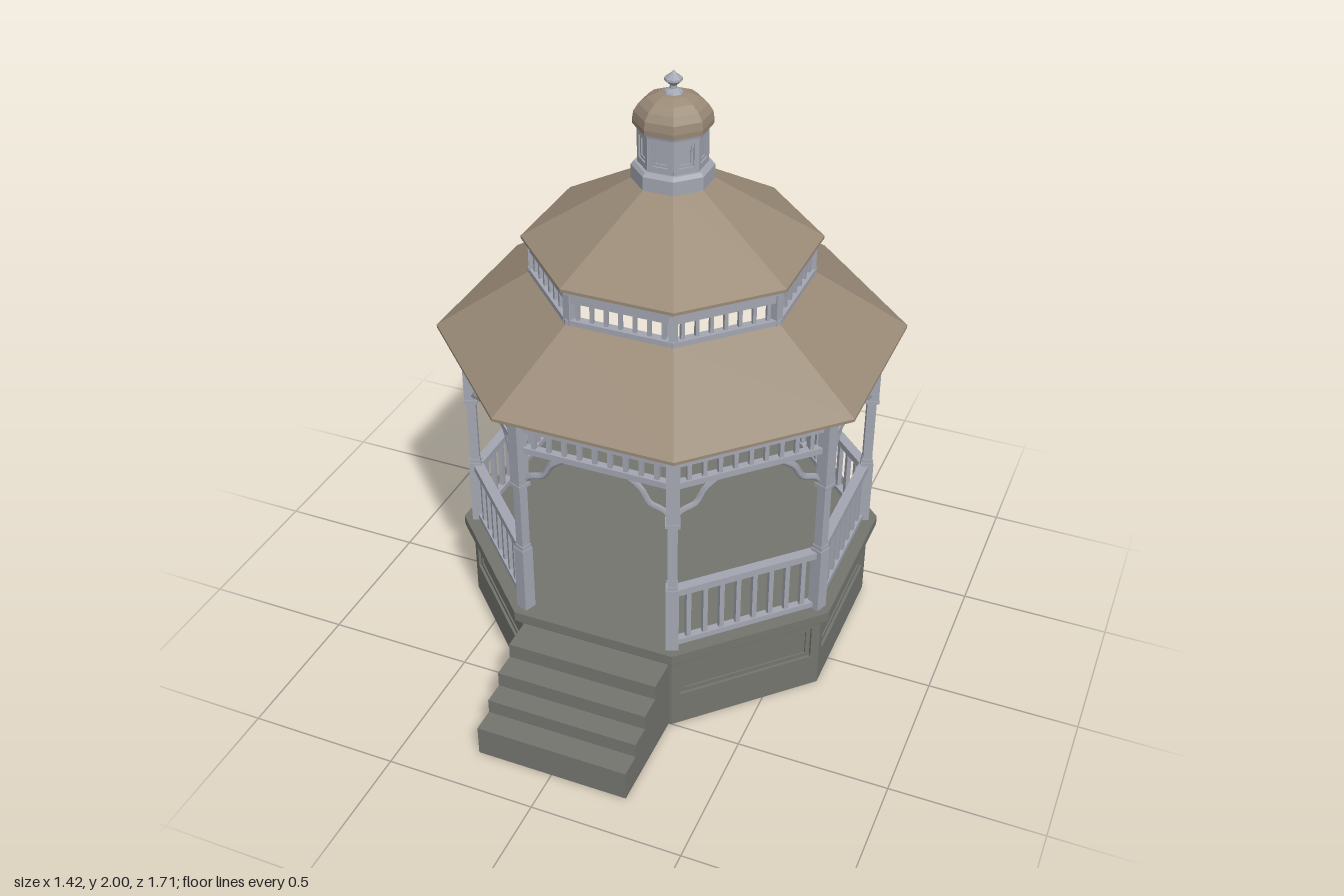
import * as THREE from 'three';

const stone = new THREE.MeshStandardMaterial({ color: 0x74756f });
stone.name = 'stone grey';
const trim = new THREE.MeshStandardMaterial({ color: 0xa3a6b1 });
trim.name = 'painted trim';
const shingle = new THREE.MeshStandardMaterial({ color: 0x9a8a77 });
shingle.name = 'brown shingle';

const COS = Math.cos(Math.PI / 8), TAN = Math.tan(Math.PI / 8);

function add(parent, name, geometry, material, x = 0, y = 0, z = 0) {
  const mesh = new THREE.Mesh(geometry, material);
  mesh.name = name;
  mesh.position.set(x, y, z);
  parent.add(mesh);
  return mesh;
}

// Box given by its bottom height and top height
function bar(parent, name, material, w, y0, y1, d, x, z) {
  return add(parent, name, new THREE.BoxGeometry(w, y1 - y0, d), material, x, (y0 + y1) / 2, z);
}

// Faceted octagonal solid; profile is [apothem, y], going up on the outside
function octagon(parent, name, material, profile) {
  const points = profile.map(([a, y]) => new THREE.Vector2(a / COS, y));
  const geometry = new THREE.LatheGeometry(points, 8, Math.PI / 8).toNonIndexed();
  geometry.computeVertexNormals();
  return add(parent, name, geometry, material);
}

function ring(parent, name, material, inner, outer, y0, y1) {
  return octagon(parent, name, material,
    [[inner, y0], [outer, y0], [outer, y1], [inner, y1], [inner, y0]]);
}

// Flat plate with a rectangular opening, facing +z
function framePlate(w, y0, y1, holeW, h0, h1, depth) {
  const rect = (Type, hw, a, b) => new Type([[-hw, a], [hw, a], [hw, b], [-hw, b]]
    .map(([x, y]) => new THREE.Vector2(x, y)));
  const shape = rect(THREE.Shape, w / 2, y0, y1);
  shape.holes.push(rect(THREE.Path, holeW / 2, h0, h1));
  return new THREE.ExtrudeGeometry(shape, { depth, bevelEnabled: false });
}

function spindles(parent, name, count, span, size, y0, y1, z) {
  for (let i = 0; i < count; i++) {
    const x = ((i + 0.5) / count - 0.5) * span;
    bar(parent, name, trim, size, y0, y1, size, x, z);
  }
}

// Everything on one of the eight sides, built facing +z
function buildSide(isFront) {
  const side = new THREE.Group();
  side.name = isFront ? 'entranceSide' : 'side';

  // Plinth face with recessed panel and moulding
  const w = 2 * 0.643 * TAN;
  add(side, 'plinthPanelFrame', framePlate(w, 0, 0.275, 0.47, 0.122, 0.245, 0.016), stone, 0, 0, 0.627);
  add(side, 'plinthMoulding', framePlate(0.47, 0.122, 0.245, 0.438, 0.138, 0.229, 0.007), stone, 0, 0, 0.627);

  // Balustrade
  if (!isFront) {
    bar(side, 'handRail', trim, 0.49, 0.53, 0.555, 0.034, 0, 0.617);
    bar(side, 'bottomRail', trim, 0.49, 0.327, 0.347, 0.026, 0, 0.617);
    spindles(side, 'baluster', 8, 0.46, 0.016, 0.347, 0.53, 0.617);
  }

  // Frieze and its curved brackets
  bar(side, 'friezeTopRail', trim, 0.49, 1.025, 1.068, 0.028, 0, 0.617);
  bar(side, 'friezeBottomRail', trim, 0.49, 0.944, 0.965, 0.026, 0, 0.617);
  spindles(side, 'friezeSpindle', 9, 0.46, 0.014, 0.965, 1.025, 0.617);
  for (const s of [-1, 1]) {
    const path = new THREE.CatmullRomCurve3(
      [[0.25, 0.83], [0.225, 0.853], [0.18, 0.868], [0.15, 0.915], [0.105, 0.948]]
        .map(([x, y]) => new THREE.Vector3(s * x, y, 0)));
    add(side, 'bracket', new THREE.TubeGeometry(path, 12, 0.012, 4), trim, 0, 0, 0.617);
  }

  // Clerestory bars between the two roofs
  spindles(side, 'clerestoryBar', 7, 0.33, 0.012, 1.325, 1.388, 0.412);

  // Cupola window surround, sash and sill
  add(side, 'cupolaWindowFrame', framePlate(0.084, 1.7, 1.815, 0.052, 1.722, 1.798, 0.009), trim, 0, 0, 0.094);
  add(side, 'cupolaWindowSash', framePlate(0.052, 1.722, 1.798, 0.036, 1.731, 1.789, 0.004), trim, 0, 0, 0.094);
  return side;
}

// Post at an octagon corner, built along +z
function buildCorner() {
  const corner = new THREE.Group();
  corner.name = 'corner';
  const r = 0.623 / COS;
  bar(corner, 'postBase', trim, 0.042, 0.32, 0.565, 0.042, 0, r);
  bar(corner, 'postCollar', trim, 0.036, 0.565, 0.58, 0.036, 0, r);
  bar(corner, 'postShaft', trim, 0.031, 0.58, 0.82, 0.031, 0, r);
  bar(corner, 'postCollar', trim, 0.047, 0.812, 0.825, 0.047, 0, r);
  bar(corner, 'postHead', trim, 0.042, 0.825, 1.07, 0.042, 0, r);
  bar(corner, 'clerestoryPost', trim, 0.028, 1.3, 1.43, 0.028, 0, 0.411 / COS);
  return corner;
}

function buildStairs() {
  const shape = new THREE.Shape();
  const steps = [[0.997, 0.106], [0.917, 0.156], [0.842, 0.209], [0.758, 0.262]];
  shape.moveTo(0.6, 0);
  let y = 0;
  for (const [z, top] of steps) {
    shape.lineTo(z, y);
    shape.lineTo(z, top);
    y = top;
  }
  shape.lineTo(0.6, y);
  const geometry = new THREE.ExtrudeGeometry(shape, { depth: 0.514, bevelEnabled: false });
  geometry.rotateY(-Math.PI / 2);
  geometry.translate(0.257, 0, 0);
  return geometry;
}

export function createModel() {
  const model = new THREE.Group();
  model.name = 'gazebo';
  const body = new THREE.Group();
  body.name = 'pavilion';
  body.position.z = -0.142;
  model.add(body);

  // Plinth, floor and stairs
  octagon(body, 'plinthCore', stone, [[0, 0], [0.629, 0], [0.629, 0.28], [0, 0.28]]);
  octagon(body, 'floor', stone,
    [[0, 0.27], [0.655, 0.27], [0.657, 0.28], [0.671, 0.288], [0.671, 0.322], [0, 0.322]]);
  add(body, 'stairs', buildStairs(), stone);

  // Repeated sides and corners
  for (let k = 0; k < 8; k++) {
    const side = buildSide(k === 0);
    side.rotation.y = k * Math.PI / 4;
    const corner = buildCorner();
    corner.rotation.y = (k + 0.5) * Math.PI / 4;
    body.add(side, corner);
  }

  // Lower roof
  ring(body, 'eaveBeam', trim, 0.592, 0.65, 1.064, 1.085);
  ring(body, 'eaveMoulding', trim, 0.592, 0.672, 1.082, 1.102);
  octagon(body, 'lowerRoof', shingle,
    [[0.672, 1.1], [0.711, 1.1], [0.711, 1.11], [0.425, 1.31], [0.4, 1.31], [0.4, 1.295], [0.672, 1.1]]);

  // Clerestory
  ring(body, 'clerestorySill', trim, 0.398, 0.428, 1.3, 1.326);
  ring(body, 'clerestoryHeader', trim, 0.398, 0.424, 1.386, 1.42);
  ring(body, 'clerestoryMoulding', trim, 0.398, 0.432, 1.416, 1.434);

  // Upper roof
  octagon(body, 'upperRoof', shingle,
    [[0, 1.625], [0.1, 1.625], [0.41, 1.43], [0.444, 1.43], [0.444, 1.44], [0.112, 1.65], [0, 1.65]]);

  // Cupola
  octagon(body, 'cupolaBase', trim,
    [[0.1, 1.63], [0.121, 1.64], [0.121, 1.69], [0.112, 1.702], [0, 1.702]]);
  octagon(body, 'cupolaBody', trim, [[0.094, 1.69], [0.094, 1.83]]);
  octagon(body, 'cupolaCornice', trim,
    [[0.094, 1.81], [0.107, 1.815], [0.111, 1.832], [0, 1.832]]);
  octagon(body, 'dome', shingle,
    [[0, 1.826], [0.115, 1.826], [0.116, 1.842], [0.112, 1.868], [0.098, 1.892],
      [0.075, 1.912], [0.045, 1.926], [0, 1.932]]);
  octagon(body, 'finial', trim,
    [[0.03, 1.926], [0.026, 1.934], [0.011, 1.942], [0.01, 1.952], [0.027, 1.968],
      [0.026, 1.975], [0.01, 1.988], [0, 2]]);
  return model;
}
